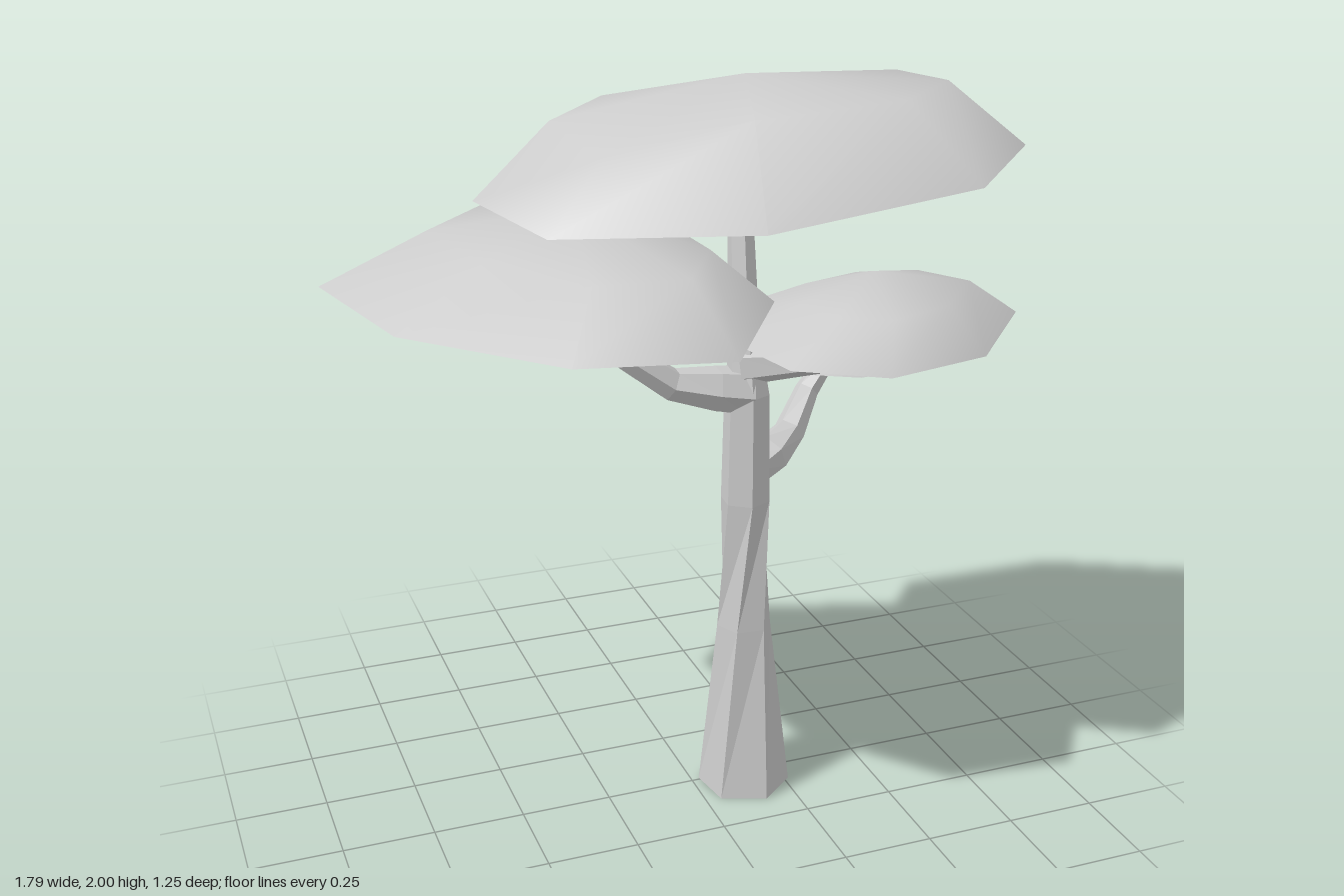
import * as THREE from 'three';

const material = new THREE.MeshStandardMaterial({ color: 0xcccccc });
const UP = new THREE.Vector3(0, 1, 0);

function geometryFrom(points, index) {
  const geometry = new THREE.BufferGeometry().setFromPoints(points);
  geometry.setIndex(index);
  return geometry;
}

// Triangles joining ring a to the ring above it, both n points long
function bridge(index, a, b, n) {
  for (let j = 0; j < n; j++) {
    const k = (j + 1) % n;
    index.push(a + j, b + j, a + k, a + k, b + j, b + k);
  }
}

// Faceted six-sided limb through stations [x, y, z, radius, ring angle in degrees]
function limb(name, stations) {
  const sides = 6, points = [], index = [];
  const centres = stations.map(([x, y, z]) => new THREE.Vector3(x, y, z));
  const last = stations.length - 1;
  stations.forEach(([, , , radius, angle = -25], i) => {
    const tangent = centres[Math.min(i + 1, last)].clone().sub(centres[Math.max(i - 1, 0)]).normalize();
    const turn = new THREE.Quaternion().setFromUnitVectors(UP, tangent);
    for (let j = 0; j < sides; j++) {
      const a = THREE.MathUtils.degToRad(angle + j * 60);
      points.push(new THREE.Vector3(Math.cos(a) * radius, 0, Math.sin(a) * radius).applyQuaternion(turn).add(centres[i]));
    }
    if (i > 0) bridge(index, (i - 1) * sides, i * sides, sides);
  });
  // End caps
  const top = last * sides;
  for (let j = 1; j < sides - 1; j++) index.push(0, j, j + 1, top, top + j + 1, top + j);
  const geometry = geometryFrom(points, index).toNonIndexed();
  geometry.computeVertexNormals();
  const mesh = new THREE.Mesh(geometry, material);
  mesh.name = name;
  return mesh;
}

// Smooth dome over an irregular rim, with a sharp edge and a slightly hollow underside.
// drops lowers single shoulder points, hollow is the rise of the underside's middle.
function canopy(name, { rim, mid, scale, tilt = [0, 0], drops = {}, apex, hollow }) {
  const n = rim.length;
  const rimPoints = rim.map((p) => new THREE.Vector3(...p));
  const centre = new THREE.Box3().setFromPoints(rimPoints).getCenter(new THREE.Vector3());
  const shoulder = rimPoints.map((p, i) => {
    const dx = (p.x - centre.x) * scale[0], dz = (p.z - centre.z) * scale[1];
    const y = mid[1] + dx * tilt[0] + dz * tilt[1] - (drops[i] ?? 0);
    return new THREE.Vector3(mid[0] + dx, y, mid[2] + dz);
  });
  centre.y += hollow;
  const domeIndex = [], underIndex = [];
  bridge(domeIndex, 0, n, n);
  for (let j = 0; j < n; j++) {
    const k = (j + 1) % n;
    domeIndex.push(2 * n, n + k, n + j);
    underIndex.push(n, j, k);
  }
  const dome = geometryFrom([...rimPoints, ...shoulder, new THREE.Vector3(...apex)], domeIndex);
  const under = geometryFrom([...rimPoints, centre], underIndex);
  const group = new THREE.Group();
  group.name = name;
  for (const [part, geometry] of [['Top', dome], ['Underside', under]]) {
    geometry.computeVertexNormals();
    const mesh = new THREE.Mesh(geometry, material);
    mesh.name = name + part;
    group.add(mesh);
  }
  return group;
}

export function createModel() {
  const tree = new THREE.Group();
  tree.name = 'tree';

  // Twisting trunk and its branches
  tree.add(
    limb('trunk', [
      [0.142, 0, 0.038, 0.128, 21], [0.138, 0.5, 0.035, 0.076, 5], [0.138, 0.87, 0.036, 0.067],
      [0.139, 1.17, 0.036, 0.061], [0.137, 1.3, 0.025, 0.044], [0.135, 1.45, 0.008, 0.039],
      [0.14, 1.68, -0.028, 0.033], [0.157, 1.84, -0.006, 0.03],
    ]),
    limb('rightBranch', [
      [0.14, 1.18, 0.035, 0.065], [0.05, 1.195, 0.035, 0.06], [-0.07, 1.22, 0.03, 0.044],
      [-0.2, 1.315, 0.025, 0.037], [-0.32, 1.43, 0.02, 0.028], [-0.33, 1.57, 0.02, 0.024],
    ]),
    limb('upperLeftBranch', [
      [0.13, 1.25, 0.03, 0.056], [0.25, 1.268, 0.1, 0.044], [0.35, 1.285, 0.16, 0.036],
      [0.41, 1.35, 0.172, 0.027], [0.43, 1.42, 0.175, 0.024],
    ]),
    limb('lowerLeftBranch', [
      [0.14, 0.95, 0.035, 0.055], [0.22, 0.98, 0.01, 0.056], [0.3, 1.015, -0.045, 0.043],
      [0.38, 1.1, -0.115, 0.033], [0.45, 1.18, -0.135, 0.026], [0.465, 1.23, -0.14, 0.024],
    ]),
  );

  // Canopies
  tree.add(
    canopy('topCanopy', {
      rim: [[-0.23, 1.74, -0.55], [0.27, 1.79, -0.525], [0.81, 1.81, -0.22], [0.83, 1.81, 0.2],
        [0.54, 1.79, 0.51], [0, 1.72, 0.49], [-0.45, 1.69, 0.24], [-0.52, 1.69, -0.19]],
      mid: [0.145, 1.94, 0.005], scale: [0.72, 0.62], tilt: [0.06, 0.05], drops: { 6: 0.07, 7: 0.01 },
      apex: [0.14, 2, 0], hollow: 0.08,
    }),
    canopy('rightCanopy', {
      rim: [[0.1, 1.5, 0.3], [-0.12, 1.475, 0.625], [-0.5, 1.49, 0.585], [-0.81, 1.48, 0.19],
        [-0.9, 1.47, -0.32], [-0.58, 1.45, -0.63], [-0.15, 1.48, -0.48], [0.08, 1.5, -0.15]],
      mid: [-0.34, 1.625, 0.025], scale: [0.6, 0.68], apex: [-0.32, 1.7, 0], hollow: 0.08,
    }),
    canopy('upperLeftCanopy', {
      rim: [[0.89, 1.335, 0.11], [0.62, 1.34, 0.43], [0.3, 1.36, 0.55], [0.09, 1.365, 0.43],
        [0.03, 1.37, 0.17], [0.18, 1.365, -0.12], [0.47, 1.36, -0.21], [0.75, 1.345, -0.14]],
      mid: [0.47, 1.45, 0.185], scale: [0.58, 0.56], apex: [0.43, 1.51, 0.17], hollow: 0.05,
    }),
    canopy('lowerLeftCanopy', {
      rim: [[0.8, 1.178, -0.16], [0.7, 1.18, 0.03], [0.45, 1.19, 0.08], [0.22, 1.2, -0.02],
        [0.15, 1.2, -0.2], [0.27, 1.198, -0.38], [0.49, 1.19, -0.44], [0.74, 1.182, -0.36]],
      mid: [0.475, 1.252, -0.15], scale: [0.72, 0.6], apex: [0.47, 1.3, -0.16], hollow: 0.035,
    }),
  );
  return tree;
}
